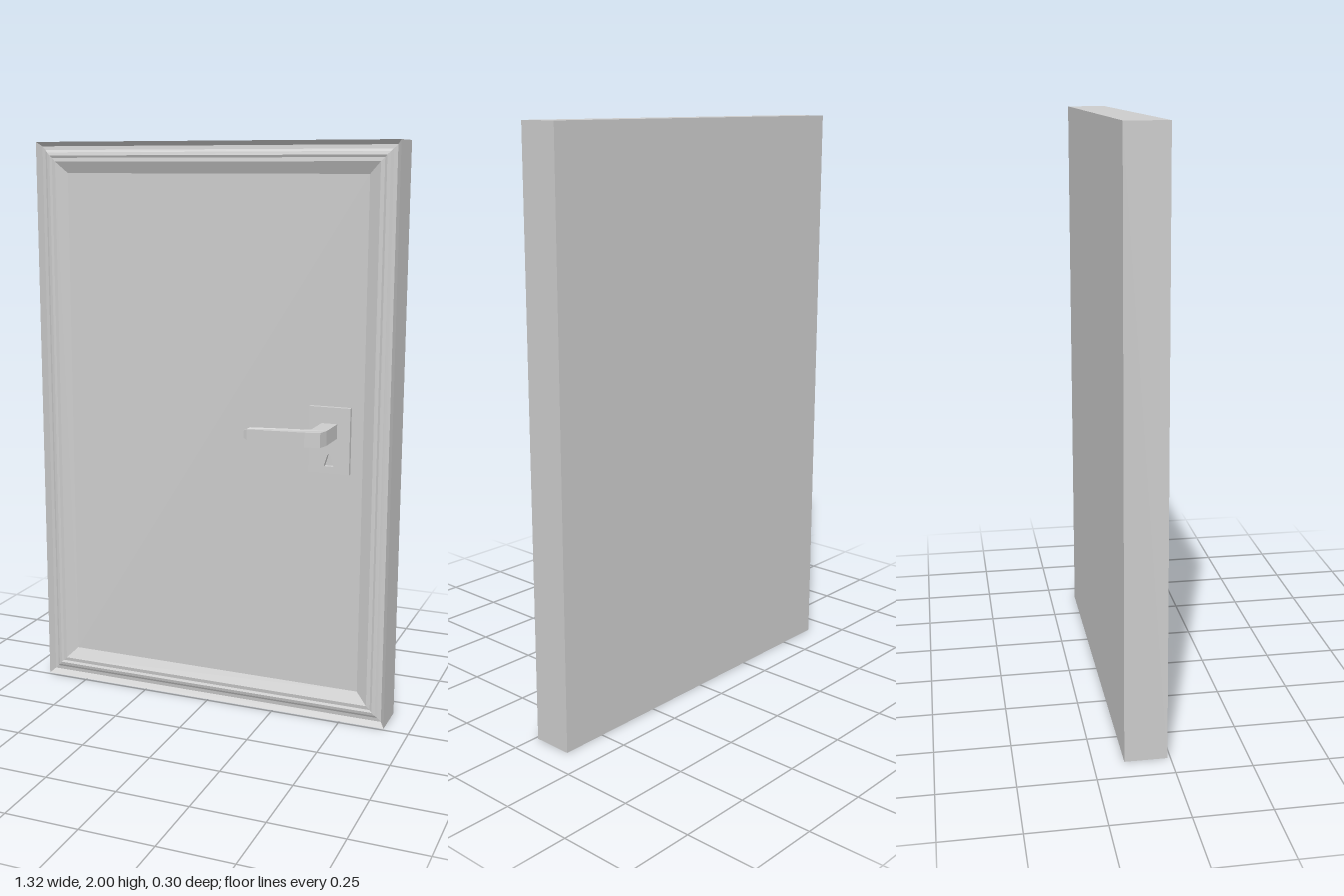
import * as THREE from 'three';

const W = 0.66, H = 2, BACK = -0.15, PANEL_Z = -0.042, PANEL_INSET = 0.108;
const material = new THREE.MeshStandardMaterial({ color: 0xcccccc, flatShading: true });

function addMesh(group, name, geometry, x = 0, y = 0, z = 0) {
  const mesh = new THREE.Mesh(geometry, material);
  mesh.name = name;
  mesh.position.set(x, y, z);
  group.add(mesh);
  return mesh;
}

// Mitred rectangular frame: each profile point is [inset from the outer edge, z]
function mouldingGeometry(profile) {
  const rings = profile.map(([d, z]) => [
    [-W + d, d, z], [W - d, d, z], [W - d, H - d, z], [-W + d, H - d, z],
  ]);
  const pos = [];
  for (let i = 0; i < rings.length - 1; i++) {
    for (let k = 0; k < 4; k++) {
      const n = (k + 1) % 4;
      const a = rings[i][k], b = rings[i][n], c = rings[i + 1][n], d = rings[i + 1][k];
      pos.push(...a, ...b, ...c, ...a, ...c, ...d);
    }
  }
  const geometry = new THREE.BufferGeometry();
  geometry.setAttribute('position', new THREE.Float32BufferAttribute(pos, 3));
  geometry.computeVertexNormals();
  return geometry;
}

// Lever outline in plan [x, z], extruded upwards and thinned towards the tip
function leverGeometry() {
  const outline = [
    [0.41, -0.03], [0.41, 0.094], [0.2, 0.103], [0.188, 0.109], [0.182, 0.121],
    [0.188, 0.134], [0.2, 0.139], [0.405, 0.148], [0.455, 0.134], [0.465, 0.095], [0.465, -0.03],
  ];
  const shape = new THREE.Shape(outline.map(([x, z]) => new THREE.Vector2(x, -z)));
  const geometry = new THREE.ExtrudeGeometry(shape, { depth: 1, bevelEnabled: false });
  geometry.rotateX(-Math.PI / 2);
  geometry.translate(0, -0.5, 0);
  const p = geometry.attributes.position;
  for (let i = 0; i < p.count; i++) {
    const x = p.getX(i);
    const height = x < 0.2
      ? THREE.MathUtils.mapLinear(x, 0.182, 0.2, 0.02, 0.037)
      : THREE.MathUtils.mapLinear(Math.min(x, 0.41), 0.2, 0.41, 0.037, 0.05);
    p.setY(i, p.getY(i) * height);
  }
  geometry.computeVertexNormals();
  return geometry;
}

// Escutcheon plate with a tapered keyhole cut through it
function plateGeometry() {
  const w = 0.0725, h = 0.115;
  const shape = new THREE.Shape([
    new THREE.Vector2(-w, -h), new THREE.Vector2(w, -h),
    new THREE.Vector2(w, h), new THREE.Vector2(-w, h),
  ]);
  const hole = new THREE.Path();
  hole.moveTo(-0.017, -0.09);
  hole.lineTo(-0.006, -0.053);
  hole.quadraticCurveTo(0, -0.04, 0.006, -0.053);
  hole.lineTo(0.017, -0.09);
  hole.closePath();
  shape.holes.push(hole);
  return new THREE.ExtrudeGeometry(shape, { depth: 0.017, bevelEnabled: false, curveSegments: 4 });
}

export function createModel() {
  const door = new THREE.Group();
  door.name = 'door';

  // Frame sides, stepped moulding and the bevel down to the panel
  addMesh(door, 'frameMoulding', mouldingGeometry([
    [0, BACK], [0, -0.01], [0.015, -0.03], [0.028, -0.028], [0.036, -0.023],
    [0.047, -0.02], [0.055, -0.024], [0.068, -0.022], [PANEL_INSET, PANEL_Z],
  ]));

  // Flat faces
  addMesh(door, 'frontPanel',
    new THREE.PlaneGeometry(2 * (W - PANEL_INSET), H - 2 * PANEL_INSET), 0, H / 2, PANEL_Z);
  addMesh(door, 'backPanel', new THREE.PlaneGeometry(2 * W, H), 0, H / 2, BACK).rotation.y = Math.PI;

  // Handle set
  const handle = new THREE.Group();
  handle.name = 'handleSet';
  addMesh(handle, 'keyholePlate', plateGeometry(), 0.4375, 1.005, PANEL_Z);
  addMesh(handle, 'lever', leverGeometry(), 0, 1.039, 0);
  door.add(handle);

  return door;
}
